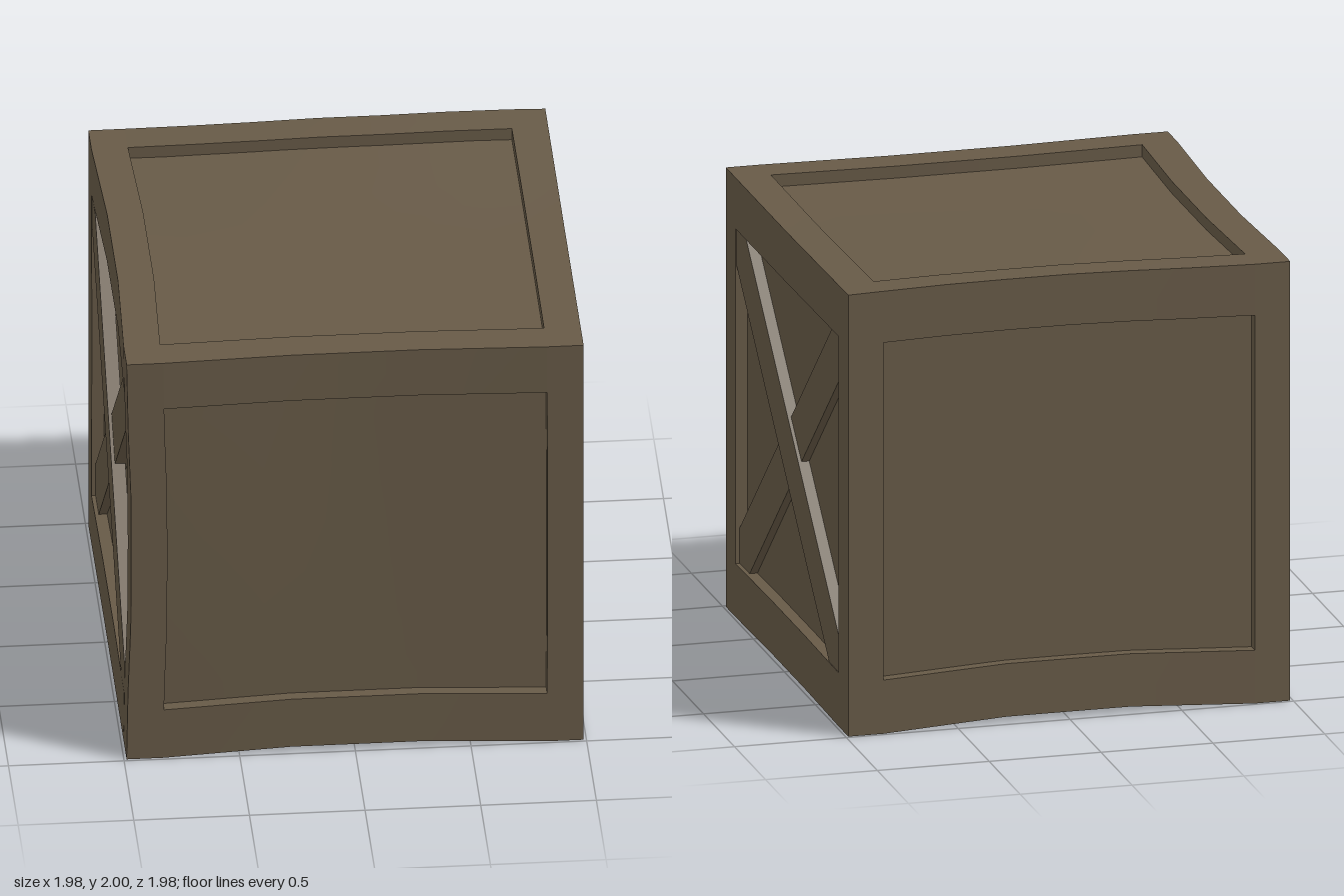
import * as THREE from 'three';

const H = 0.988;      // half width of the crate
const IN = 0.83;      // half width of the frame opening
const TOP = 1.98, LOW = 0.24, HIGH = 1.75;

// Weathered timber: each edge bows a little between its corners
const bump = (t) => THREE.MathUtils.clamp((IN - Math.abs(t)) / 0.55, 0, 1);
const clamp01 = (t) => THREE.MathUtils.clamp(t, 0, 1);

function warp(geometry) {
  const p = geometry.attributes.position;
  for (let i = 0; i < p.count; i++) {
    const x = p.getX(i), y = p.getY(i), z = p.getZ(i);
    const up = clamp01(y / TOP), back = clamp01((1 - z) / 2), left = clamp01((1 - x) / 2);
    // underside lifts in the middle, back of the lid crowns slightly
    const dy = (1 - up) * (0.028 * bump(x) + 0.008 * bump(z) * (1 - bump(x)))
      + up * Math.max(0, back * 2 - 1) * 0.02 * bump((x - 0.3) * 0.8);
    // sides pinch inwards
    const dx = 0.022 * left * bump(z) * up + 0.02 * bump(y - 1) * left * (1 - back);
    const dz = -0.022 * up * (1 - back) * bump(x) + 0.012 * back * bump(x);
    p.setXYZ(i, x + dx, y + dy, z + dz);
  }
  geometry.computeVertexNormals();
  return geometry;
}

export function createModel() {
  const crate = new THREE.Group();
  crate.name = 'crate';
  const wood = new THREE.MeshStandardMaterial({ color: 0x675a47 });
  wood.name = 'brown wood';

  const add = (name, geometry) => {
    const mesh = new THREE.Mesh(geometry, wood);
    mesh.name = name;
    crate.add(mesh);
    return mesh;
  };
  // Box given by its minimum and maximum corners
  const beam = (name, a, b, segments) => {
    const g = new THREE.BoxGeometry(b[0] - a[0], b[1] - a[1], b[2] - a[2], ...segments);
    g.translate((a[0] + b[0]) / 2, (a[1] + b[1]) / 2, (a[2] + b[2]) / 2);
    return add(name, warp(g));
  };
  const span = (s) => (s > 0 ? [IN, H] : [-H, -IN]);

  // Recessed panels on all six sides
  beam('panels', [-0.935, 0.055, -0.935], [0.935, 1.925, 0.935], [7, 7, 7]);

  // Corner posts
  for (const sx of [-1, 1]) for (const sz of [-1, 1]) {
    const [x0, x1] = span(sx), [z0, z1] = span(sz);
    beam('cornerPost', [x0, 0, z0], [x1, TOP, z1], [1, 6, 1]);
  }

  // Upper and lower rails between the posts
  for (const [y0, y1] of [[0, LOW], [HIGH, TOP]]) for (const s of [-1, 1]) {
    const [a, b] = span(s);
    beam('crossRail', [-IN, y0, a], [IN, y1, b], [6, 1, 1]);
    beam('sideRail', [a, y0, -IN], [b, y1, IN], [1, 1, 6]);
  }

  // Crossed braces on the left and right sides
  const brace = (mirror, face) => {
    const outline = [[-IN, HIGH], [-0.67, HIGH], [IN, 0.4], [IN, LOW], [0.67, LOW], [-IN, 1.59]];
    const shape = new THREE.Shape(outline.map(([x, y]) => new THREE.Vector2(x * mirror, y)));
    const g = new THREE.ExtrudeGeometry(shape, { depth: 0.06, bevelEnabled: false });
    return g.translate(0, 0, face - 0.06);
  };
  for (const side of [-1, 1]) {
    add('longBrace', brace(1, 0.985).rotateY(side * Math.PI / 2));
    add('crossBrace', brace(-1, 0.97).rotateY(side * Math.PI / 2));
  }
  return crate;
}
